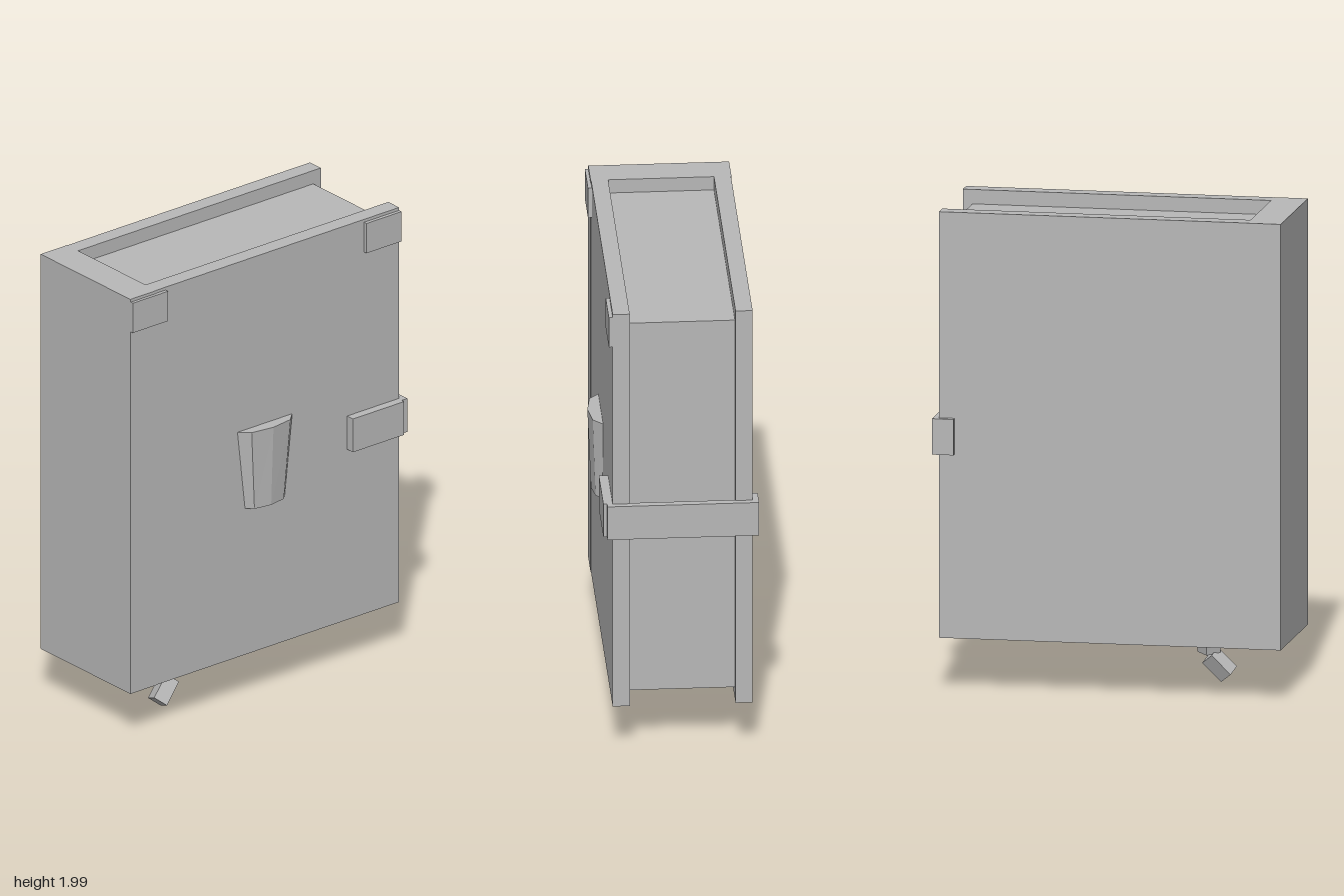
import * as THREE from 'three';

const grey = new THREE.MeshStandardMaterial({ color: 0xb8b8b8 });
grey.name = 'plain grey';

function add(parent, name, geometry) {
  const mesh = new THREE.Mesh(geometry, grey);
  mesh.name = name;
  parent.add(mesh);
  return mesh;
}

// Box given by its limits on each axis
function block(parent, name, [x0, x1], [y0, y1], [z0, z1]) {
  const mesh = add(parent, name, new THREE.BoxGeometry(x1 - x0, y1 - y0, z1 - z0));
  mesh.position.set((x0 + x1) / 2, (y0 + y1) / 2, (z0 + z1) / 2);
}

// Square rod running from a to b
function rod(parent, name, a, b, radius) {
  const from = new THREE.Vector3(...a), to = new THREE.Vector3(...b);
  const dir = to.clone().sub(from);
  const geo = new THREE.CylinderGeometry(radius, radius, dir.length(), 4).toNonIndexed();
  geo.computeVertexNormals();
  const mesh = add(parent, name, geo);
  mesh.position.copy(from).add(to).multiplyScalar(0.5);
  mesh.quaternion.setFromUnitVectors(new THREE.Vector3(0, 1, 0), dir.normalize());
}

// Faceted, tapered relief lofted between two outlines of [x, z]
function relief(bottom, yBottom, top, yTop) {
  const lo = bottom.map(([x, z]) => [x, yBottom, z]);
  const hi = top.map(([x, z]) => [x, yTop, z]);
  const pos = [];
  const tri = (...pts) => pts.forEach(p => pos.push(...p));
  for (let i = 0; i < lo.length - 1; i++) {
    tri(lo[i], lo[i + 1], hi[i + 1]);
    tri(lo[i], hi[i + 1], hi[i]);
    if (i > 0) {
      tri(hi[0], hi[i], hi[i + 1]);
      tri(lo[0], lo[i + 1], lo[i]);
    }
  }
  const geo = new THREE.BufferGeometry();
  geo.setAttribute('position', new THREE.Float32BufferAttribute(pos, 3));
  geo.computeVertexNormals();
  return geo;
}

export function createModel() {
  const book = new THREE.Group();
  book.name = 'book';

  // Covers, spine and page block
  const height = [0.222, 2];
  block(book, 'frontCover', [-0.6, 0.7], height, [0.2, 0.27]);
  block(book, 'backCover', [-0.6, 0.7], height, [-0.305, -0.235]);
  block(book, 'spine', [-0.728, -0.588], height, [-0.307, 0.272]);
  block(book, 'pages', [-0.6, 0.66], [0.275, 1.94], [-0.24, 0.205]);

  // Corner plates
  block(book, 'cornerPlateRight', [-0.726, -0.54], [1.853, 1.987], [0.265, 0.286]);
  block(book, 'cornerPlateLeft', [0.514, 0.701], [1.853, 1.987], [0.265, 0.286]);

  // Clasp strap wrapping the open edge
  const strap = new THREE.Group();
  strap.name = 'strap';
  const band = [0.99, 1.14];
  block(strap, 'strapFront', [0.424, 0.695], band, [0.265, 0.308]);
  block(strap, 'strapSide', [0.694, 0.725], band, [-0.33, 0.293]);
  block(strap, 'strapBack', [0.635, 0.72], band, [-0.33, -0.3]);
  book.add(strap);

  // Tapered emblem on the front cover
  add(book, 'emblem', relief(
    [[-0.12, 0.268], [-0.09, 0.297], [-0.012, 0.31], [0.065, 0.297], [0.095, 0.268]], 0.88,
    [[-0.16, 0.268], [-0.115, 0.31], [-0.012, 0.325], [0.09, 0.31], [0.135, 0.268]], 1.235));

  // Bent bookmark hanging below the pages
  const bookmark = new THREE.Group();
  bookmark.name = 'bookmark';
  rod(bookmark, 'bookmarkUpper', [-0.353, 0.3, 0.053], [-0.353, 0.13, 0.077], 0.048);
  rod(bookmark, 'bookmarkLower', [-0.358, 0.118, 0.075], [-0.434, 0.038, 0.09], 0.046);
  book.add(bookmark);

  return book;
}
